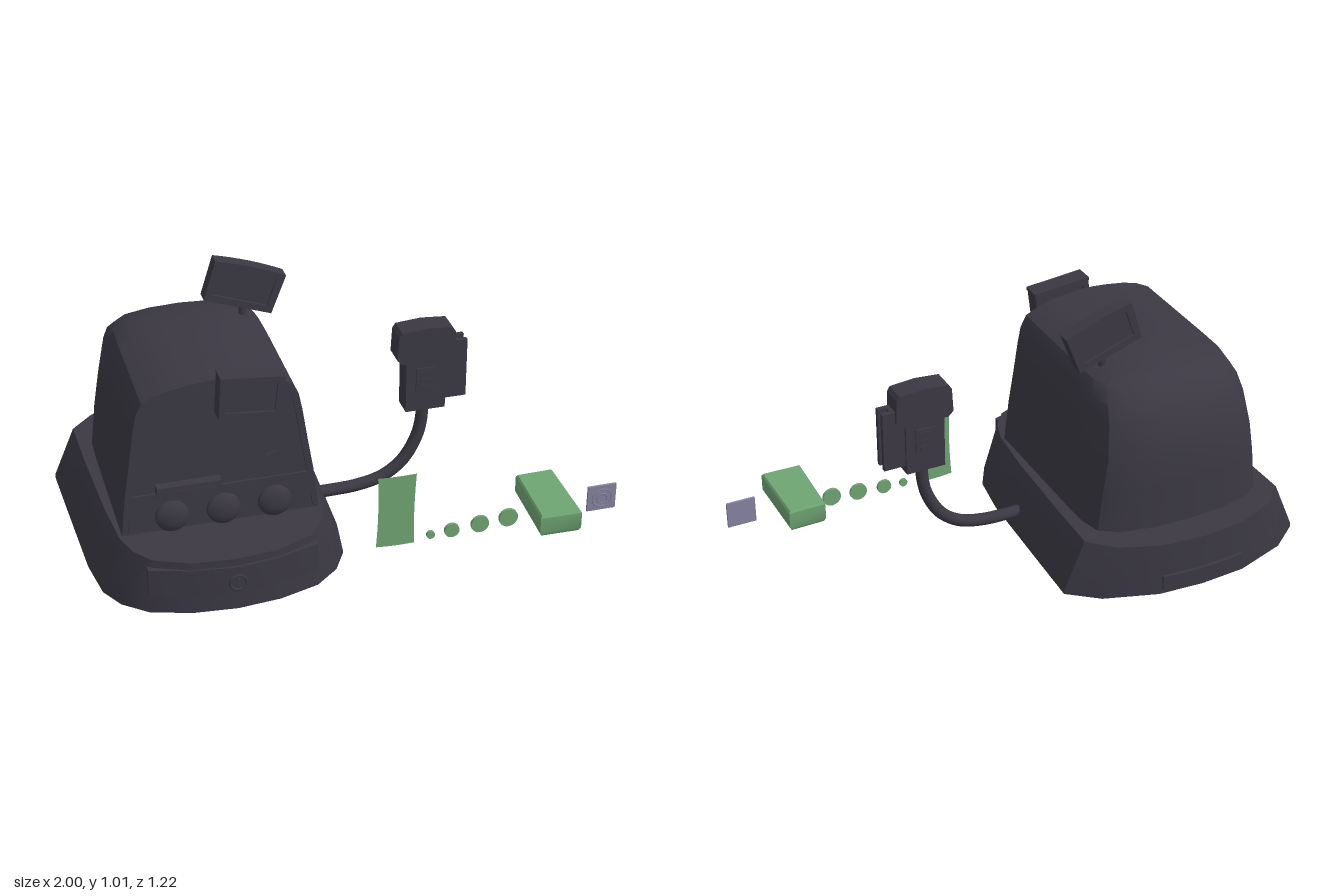
import * as THREE from 'three';
import { toCreasedNormals } from 'three/addons/utils/BufferGeometryUtils.js';
import { RoundedBoxGeometry } from 'three/addons/geometries/RoundedBoxGeometry.js';

const mat = (color) => new THREE.MeshStandardMaterial({ color, side: THREE.DoubleSide });
const DARK = mat(0x3b3843), GREEN = mat(0x6fa573), LILAC = mat(0x8583a0);
const CX = -0.5; // centre line of the machine

// Skin closed rings of [x, y, z]; each ring runs counter-clockwise about the loft direction
function loft(rings, capStart = true, capEnd = true, crease = 0.5) {
  const n = rings[0].length, pos = rings.flat(2), idx = [];
  for (let i = 0; i < rings.length - 1; i++) {
    for (let j = 0; j < n; j++) {
      const k = (j + 1) % n, a = i * n + j, b = i * n + k;
      idx.push(a, b, b + n, a, b + n, a + n);
    }
  }
  const cap = (r, flip) => {
    const c = pos.length / 3, ring = rings[r];
    for (let d = 0; d < 3; d++) pos.push(ring.reduce((s, p) => s + p[d], 0) / n);
    for (let j = 0; j < n; j++) {
      const a = r * n + j, b = r * n + (j + 1) % n;
      idx.push(c, flip ? b : a, flip ? a : b);
    }
  };
  if (capStart) cap(0, true);
  if (capEnd) cap(rings.length - 1, false);
  const g = new THREE.BufferGeometry();
  g.setAttribute('position', new THREE.Float32BufferAttribute(pos, 3));
  g.setIndex(idx);
  return toCreasedNormals(g.toNonIndexed(), crease);
}

function polygon(points) {
  return new THREE.Shape(points.map(([x, y]) => new THREE.Vector2(x, y)));
}

function extrude(shape, depth) {
  return new THREE.ExtrudeGeometry(shape, { depth, bevelEnabled: false, curveSegments: 8 });
}

export function createModel() {
  const model = new THREE.Group();
  const add = (name, geo, x = 0, y = 0, z = 0, material = DARK, parent = model) => {
    const m = new THREE.Mesh(geo, material);
    m.name = name;
    m.position.set(x, y, z);
    parent.add(m);
    return m;
  };
  const box = (name, w, h, d, x, y, z, parent = model, material = DARK) =>
    add(name, new THREE.BoxGeometry(w, h, d), x, y, z, material, parent);

  // Base: half outlines [offset, z], front to back, mirrored
  const low = [[0, .595], [.16, .58], [.31, .535], [.4, .46], [.45, .37], [.475, .2], [.49, -.2], [.498, -.43], [.385, -.52], [.18, -.588], [0, -.6]];
  const high = [[0, .592], [.16, .575], [.29, .52], [.345, .45], [.375, .36], [.395, .15], [.41, -.2], [.415, -.43], [.33, -.515], [.17, -.58], [0, -.595]];
  const ring = (half, y) => [...half, ...half.slice(1, -1).reverse().map(([u, z]) => [-u, z])]
    .map(([u, z]) => [CX + u, y, z]);
  add('base', loft([ring(low, 0), ring(low, .015), ring(high, .212)]));

  // Curved strips following the base: front drawer and rear handle
  const strip = (points, y0, y1, thick) => loft(points.map(([u, z]) =>
    [[CX + u, y0, z - thick], [CX + u, y1, z - thick], [CX + u, y1, z], [CX + u, y0, z]]));
  add('drawerFront', strip([[-.31, .538], [-.16, .582], [0, .603], [.16, .582], [.31, .538]], .07, .183, .03));
  add('rearHandle', strip([[-.17, -.57], [-.09, -.58], [0, -.583], [.09, -.58], [.17, -.57]], .02, .08, .027));
  add('drawerLockRing', new THREE.TorusGeometry(.03, .005, 8, 24), CX, .118, .603);
  box('drawerKeyhole', .01, .036, .008, CX, .118, .604);

  // Housing: [y, half width, back z] levels with a rounded rear plan
  const levels = [[.21, .365, -.47], [.38, .345, -.47], [.505, .325, -.468], [.64, .305, -.435], [.7, .293, -.4],
    [.745, .27, -.355], [.77, .22, -.31], [.787, .16, -.27], [.798, .08, -.13], [.803, .02, -.05]];
  const FRONT = .335;
  add('housing', loft(levels.map(([y, w, zb]) => {
    const half = [[w, FRONT], [w, zb + .27], [w * .99, zb + .16], [w * .93, zb + .08], [w * .75, zb + .035], [w * .4, zb + .008]];
    return [...half, [0, zb], ...half.slice().reverse().map(([u, z]) => [-u, z])].map(([u, z]) => [CX + u, y, z]);
  }), true, true, 0.6));

  // Raised rim around the housing front
  const arch = (t) => {
    const right = levels.map(([y, w]) => [Math.max(w - t, .01), Math.max(y - t * .8, .21)]);
    return [...right, ...right.slice().reverse().map(([u, y]) => [-u, y])];
  };
  const rim = polygon(arch(0));
  rim.holes.push(new THREE.Path(arch(.022).map(([x, y]) => new THREE.Vector2(x, y + (y === .21 ? .006 : 0)))));
  add('frontRim', extrude(rim, .012), CX, 0, FRONT - .002);

  // Front panel controls
  add('controlPanel', extrude(polygon([[-.34, .215], [.34, .215], [.325, .367], [-.325, .367]]), .012), CX, 0, FRONT - .003);
  box('paperSlot', .235, .035, .04, -.617, .387, .352);
  box('slotLip', .15, .008, .045, -.6, .385, .352);
  const latch = box('latch', .04, .012, .02, -.31, .465, .342);
  latch.rotation.z = .4;
  const knobProfile = [[0, 0], [.013, 0], [.013, .05], [.056, .05], [.062, .058], [.06, .07], [.045, .082], [.02, .088], [0, .088]]
    .map(([r, h]) => new THREE.Vector2(r, h));
  const knob = toCreasedNormals(new THREE.LatheGeometry(knobProfile, 24).rotateX(Math.PI / 2), .7);
  for (const x of [-.69, -.503, -.315]) add('knob', knob, x, .307, .342);

  // Framed screens, recessed on both sides, with a slightly arched top
  const screen = (name, w, h, d, x, y, z, tilt) => {
    const g = new THREE.Group();
    g.name = name;
    g.position.set(x, y, z);
    g.rotation.z = tilt;
    const s = new THREE.Shape();
    s.moveTo(-w * .48, -h / 2);
    s.lineTo(w * .48, -h / 2);
    s.lineTo(w / 2, h * .47);
    s.quadraticCurveTo(0, h * .56, -w / 2, h * .47);
    s.closePath();
    const a = w * .39, b = h * .34;
    s.holes.push(new THREE.Path([[-a, -b], [a, -b], [a, b], [-a, b]].map((p) => new THREE.Vector2(...p))));
    add(name + 'Frame', extrude(s, d), 0, 0, -d / 2, DARK, g);
    box(name + 'Glass', a * 2, b * 2, d - .02, 0, 0, 0, g);
    model.add(g);
    return g;
  };
  const front = screen('frontScreen', .232, .165, .07, -.395, .75, .382, -.1);
  box('frontScreenHood', .236, .012, .075, 0, .079, .002, front);
  screen('topScreen', .28, .165, .055, -.285, .895, -.157, -.34);
  add('topScreenStem', new THREE.CylinderGeometry(.014, .014, .12, 12), -.29, .78, -.157);

  // Hose from the base up to the handset
  const path = new THREE.CatmullRomCurve3([[-.1, .07], [0, .07], [.1, .075], [.2, .1], [.28, .16], [.335, .26], [.352, .34], [.353, .42]]
    .map(([x, y]) => new THREE.Vector3(x, y, .048)));
  add('hose', new THREE.TubeGeometry(path, 40, .024, 12));

  // Handset
  const handset = new THREE.Group();
  handset.name = 'handset';
  handset.position.set(0, 0, .05);
  model.add(handset);
  box('handsetGrip', .155, .225, .084, .352, .51, 0, handset);
  add('handsetHead', extrude(polygon([[.258, .605], [.45, .605], [.466, .625], [.462, .72], [.45, .738], [.352, .746], [.255, .738], [.243, .72], [.238, .625]]), .09),
    0, 0, -.045, DARK, handset);
  box('sideClip', .06, .24, .062, .45, .55, 0, handset);
  for (const s of [-1, 1]) box('clipJaw', .04, .24, .018, .495, .55, s * .022, handset);
  box('handsetPlate', .08, .1, .096, .352, .53, 0, handset);
  for (const y of [.5, .53, .56]) box('handsetButton', .05, .014, .102, .352, y, 0, handset);

  // Flat green sheet with gently bowed sides
  const sheet = new THREE.Shape();
  sheet.moveTo(.058, .05);
  sheet.quadraticCurveTo(.13, .042, .205, .045);
  sheet.quadraticCurveTo(.2, .2, .21, .347);
  sheet.quadraticCurveTo(.13, .345, .063, .35);
  sheet.quadraticCurveTo(.07, .2, .058, .05);
  add('greenSheet', new THREE.ShapeGeometry(sheet), 0, 0, .435, GREEN);

  // Row of growing green discs
  for (const [x, y, r] of [[.27, .067, .016], [.353, .072, .029], [.463, .08, .035], [.575, .088, .037]]) {
    add('greenDisc', new THREE.CylinderGeometry(r, r, .012, 24).rotateX(Math.PI / 2), x, y, .433, GREEN);
  }

  // Green cover, open underneath
  const coverRing = (y, t) => [[.645 + t, .582 - t], [.805 - t, .585 - t], [.803 - t, .285 + t], [.655 + t, .288 + t]]
    .map(([x, z]) => [x, y, z]);
  add('greenCover', loft([coverRing(.084, .008), coverRing(.1, 0), coverRing(.165, 0), coverRing(.174, .006)], false, true), 0, 0, 0, GREEN);

  // Small curved tag with raised rings
  const tag = new RoundedBoxGeometry(.116, .11, .008, 2, .003);
  const p = tag.attributes.position;
  for (let i = 0; i < p.count; i++) p.setZ(i, p.getZ(i) - 1.5 * p.getY(i) ** 2);
  add('tag', tag, .942, .12, .448, LILAC);
  add('tagOuterRing', new THREE.TorusGeometry(.038, .003, 6, 32), .942, .12, .45, LILAC);
  add('tagInnerRing', new THREE.TorusGeometry(.02, .003, 6, 24), .942, .12, .452, LILAC);
  return model;
}
